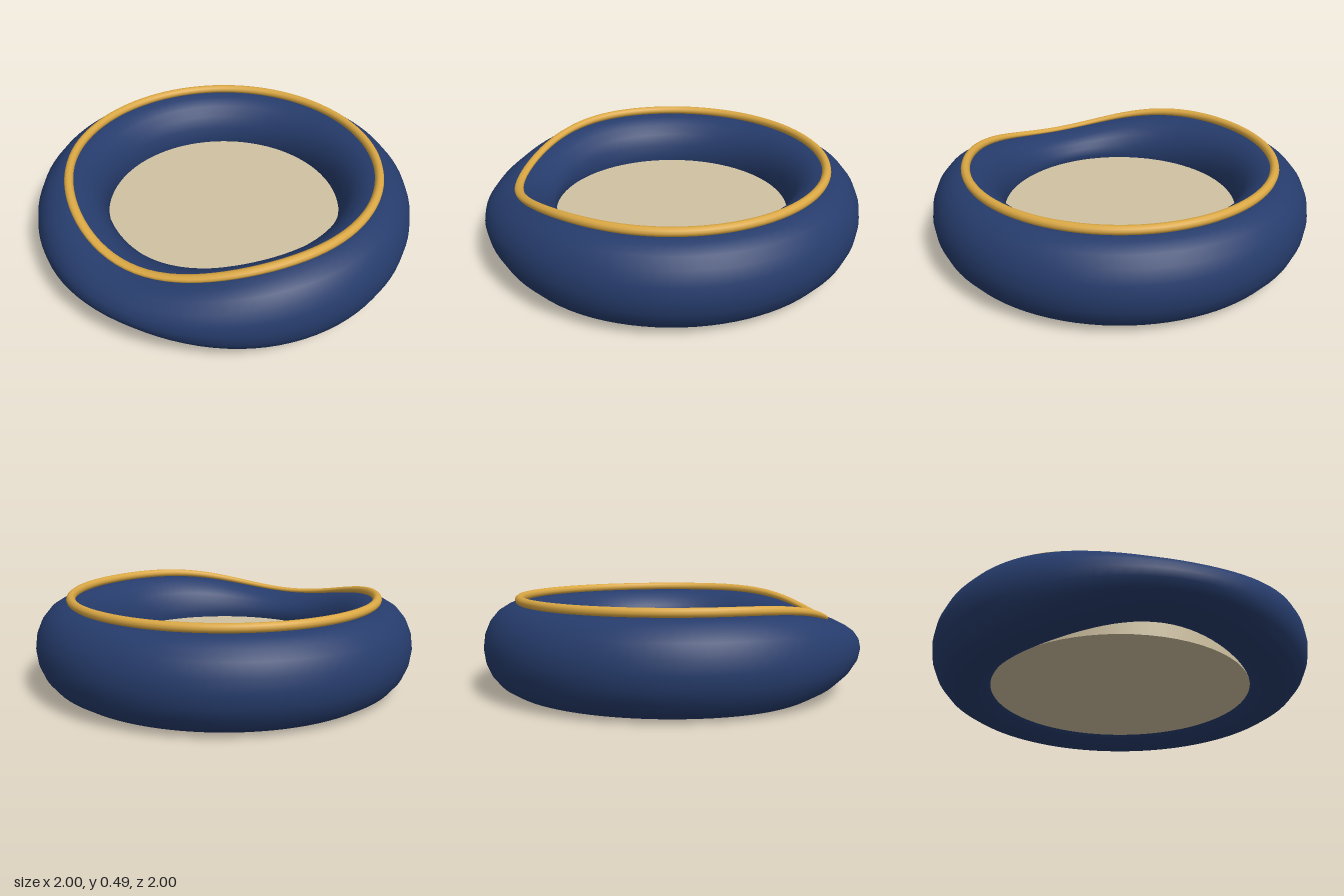
import * as THREE from 'three';
import { mergeVertices } from 'three/addons/utils/BufferGeometryUtils.js';

const RING = 0.8125;   // centre-line radius of the bolster
const TUBE = 0.1875;   // horizontal tube radius
const MID = 0.225;     // mid height, also half the bolster height

// Squash a ring vertically about its mid height towards the front entrance
function dipFront(geometry) {
  const p = geometry.attributes.position;
  for (let i = 0; i < p.count; i++) {
    const x = p.getX(i), z = p.getZ(i);
    const forward = Math.max(0, z / Math.hypot(x, z));
    const squash = 1 - 0.45 * Math.pow(forward, 5);
    p.setY(i, MID + (p.getY(i) - MID) * squash);
  }
  // weld the seams so the normals stay smooth all the way round
  geometry.deleteAttribute('uv');
  geometry.deleteAttribute('normal');
  const welded = mergeVertices(geometry, 1e-4);
  welded.computeVertexNormals();
  return welded;
}

export function createModel() {
  const navy = new THREE.MeshStandardMaterial({ color: 0x263c6c });
  navy.name = 'navy fabric';
  const gold = new THREE.MeshStandardMaterial({ color: 0xdba844 });
  gold.name = 'gold piping';
  const beige = new THREE.MeshStandardMaterial({ color: 0xd0c2a2 });
  beige.name = 'beige cushion';

  const group = new THREE.Group();
  group.name = 'petBed';
  const add = (name, geometry, material) => {
    const mesh = new THREE.Mesh(geometry, material);
    mesh.name = name;
    group.add(mesh);
  };

  // Padded bolster ring
  const bolster = new THREE.TorusGeometry(RING, TUBE, 20, 96)
    .rotateX(Math.PI / 2).scale(1, MID / TUBE, 1).translate(0, MID, 0);
  add('bolster', dipFront(bolster), navy);

  // Piping along the crest of the bolster
  const piping = new THREE.TorusGeometry(RING, 0.0235, 10, 96)
    .rotateX(Math.PI / 2).translate(0, 0.467, 0);
  add('piping', dipFront(piping), gold);

  // Flat cushion filling the middle
  const cushion = new THREE.CylinderGeometry(0.69, 0.69, 0.14, 64).translate(0, 0.13, 0);
  add('cushion', cushion, beige);

  return group;
}
